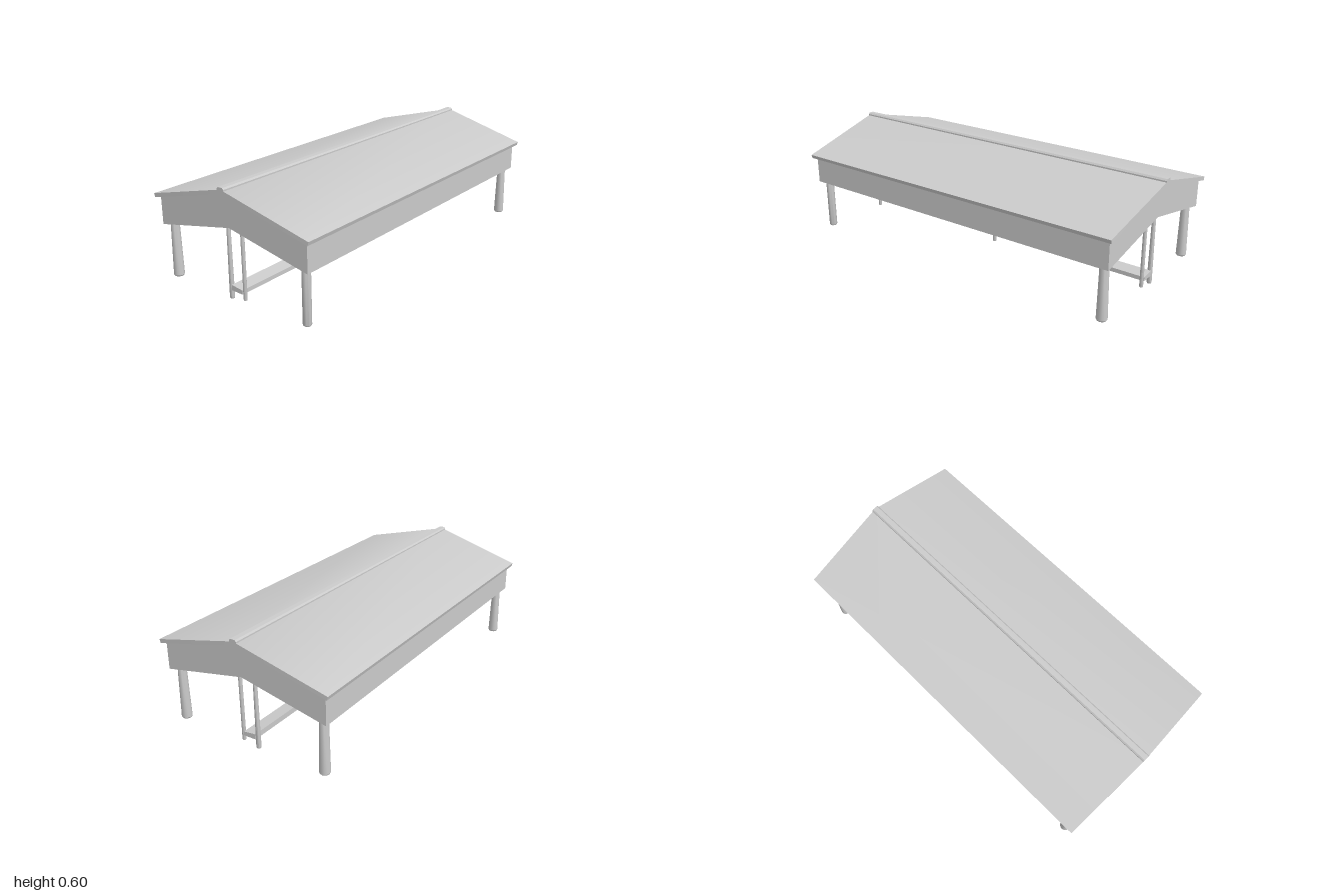
import * as THREE from 'three';
import { toCreasedNormals } from 'three/addons/utils/BufferGeometryUtils.js';

export function createModel() {
  const group = new THREE.Group();
  const material = new THREE.MeshStandardMaterial({ color: 0xcccccc });

  function add(name, geometry) {
    const mesh = new THREE.Mesh(toCreasedNormals(geometry, 0.6), material);
    mesh.name = name;
    group.add(mesh);
    return mesh;
  }

  // Extrudes a profile of [z, y] points along x, centred on x = 0
  function alongX(points, length) {
    const shape = new THREE.Shape(points.map(([z, y]) => new THREE.Vector2(-z, y)));
    const geometry = new THREE.ExtrudeGeometry(shape, { depth: length, bevelEnabled: false });
    return geometry.translate(0, 0, -length / 2).rotateY(Math.PI / 2);
  }

  // Round, tapered post with softened foot
  function post(name, x, z, bottom, top, rBottom, rTop) {
    const profile = [
      [0, bottom], [rBottom * 0.85, bottom], [rBottom, bottom + 0.006], [rTop, top], [0, top],
    ].map(([r, y]) => new THREE.Vector2(r, y));
    add(name, new THREE.LatheGeometry(profile, 12)).position.set(x, 0, z);
  }

  // Gabled body with a pitched underside
  add('gableBody', alongX([
    [0.48, 0.293], [0.48, 0.448], [0, 0.572], [-0.48, 0.448], [-0.48, 0.293], [0, 0.39],
  ], 1.92));

  // Overhanging roof, slightly longer at the ridge than at the eaves
  const roof = alongX([
    [0.5, 0.438], [0.506, 0.458], [0, 0.59], [-0.506, 0.458], [-0.5, 0.438], [0, 0.568],
  ], 2);
  const p = roof.attributes.position;
  for (let i = 0; i < p.count; i++) {
    p.setX(i, p.getX(i) * (1 - 0.04 * Math.abs(p.getZ(i))));
  }
  roof.computeVertexNormals();
  add('roof', roof);

  // Ridge cap
  add('ridgeCap', alongX([
    [0.021, 0.583], [0.021, 0.592], [0.014, 0.6], [-0.014, 0.6], [-0.021, 0.592], [-0.021, 0.583],
  ], 2));

  // Corner legs
  for (const [x, z, bottom, rBottom, rTop] of [
    [0.917, 0.437, 0.01, 0.028, 0.022],
    [0.917, -0.437, 0.007, 0.028, 0.022],
    [-0.92, 0.437, 0.015, 0.022, 0.022],
    [-0.92, -0.437, 0.01, 0.028, 0.022],
  ]) post('cornerLeg', x, z, bottom, 0.33, rBottom, rTop);

  // Pairs of slim posts under the ridge
  for (const x of [-0.92, -0.004, 0.92]) {
    post('frontInnerPost', x, 0.045, 0.015, 0.4, 0.01, 0.01);
    post('backInnerPost', x, -0.046, 0, 0.4, 0.013, 0.01);
  }

  // Low plank between the slim posts
  add('plank', alongX([
    [0.036, 0.045], [0.036, 0.067], [-0.036, 0.076], [-0.036, 0.047],
  ], 1.86));

  return group;
}
